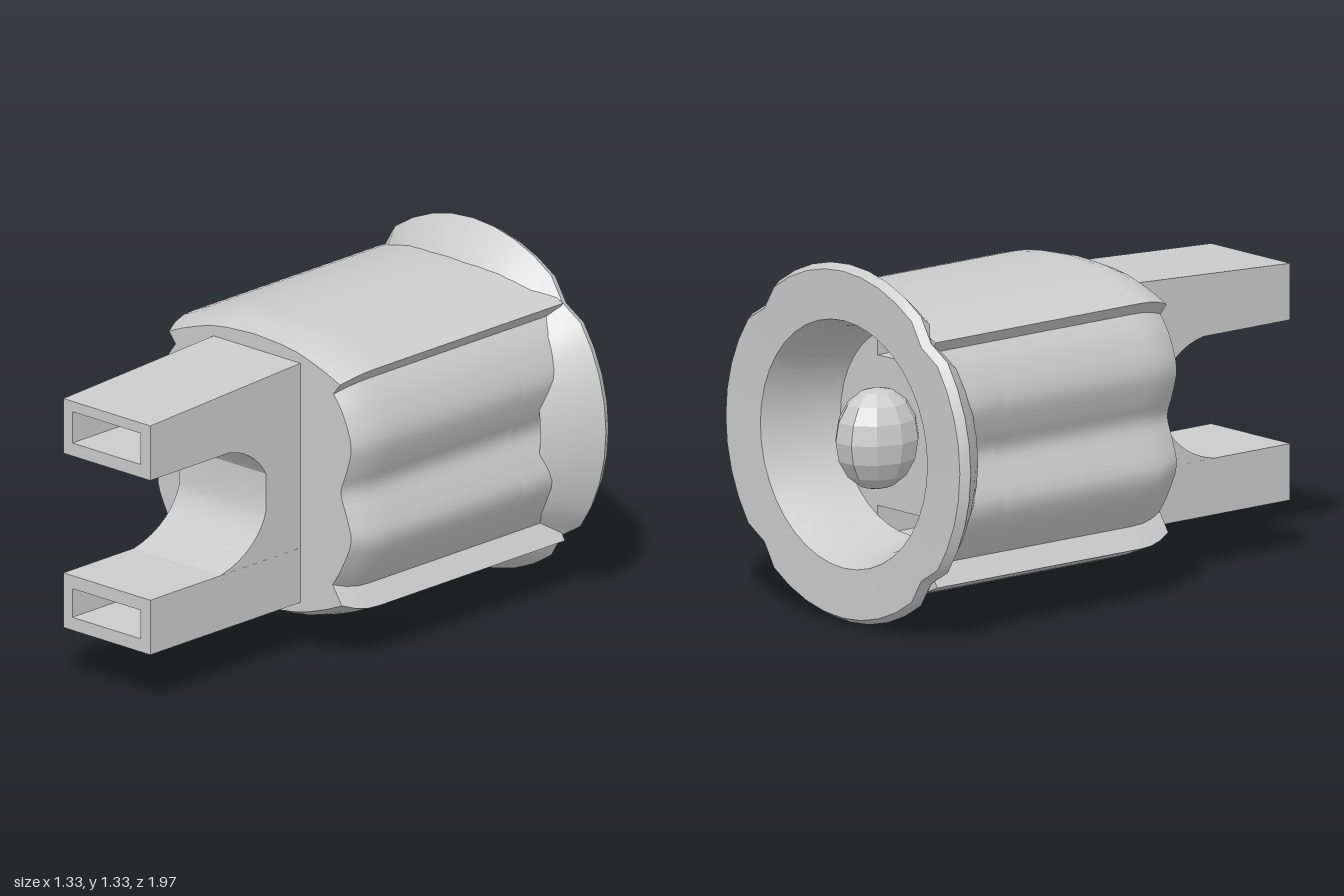
import * as THREE from 'three';
import { toCreasedNormals } from 'three/addons/utils/BufferGeometryUtils.js';

const CY = 0.665; // height of the long axis
const mat = new THREE.MeshStandardMaterial({ color: 0xcccccc, side: THREE.DoubleSide });

function addMesh(parent, name, geometry, crease = 0.5) {
  const mesh = new THREE.Mesh(toCreasedNormals(geometry, crease), mat);
  mesh.name = name;
  parent.add(mesh);
  return mesh;
}

function rect(x0, x1, y0, y1, Type = THREE.Path) {
  const s = new Type();
  s.moveTo(x0, y0).lineTo(x1, y0).lineTo(x1, y1).lineTo(x0, y1).closePath();
  return s;
}

// Extrude along z between two depths
function extrudeZ(shape, z0, z1, steps = 1) {
  const g = new THREE.ExtrudeGeometry(shape, { depth: z1 - z0, steps, bevelEnabled: false, curveSegments: 32 });
  return g.translate(0, 0, z0);
}

// Body section: domed top and bottom with overhanging corner ridges, two rounded flutes per side
function bodyShape() {
  const v = (x, y) => new THREE.Vector2(x, y);
  const side = [[0.42, 0.28], [0.47, 0.36], [0.52, 0.48], [0.495, 0.58], [0.465, 0.67],
    [0.495, 0.76], [0.52, 0.87], [0.48, 0.99], [0.425, 1.07]].map(p => v(...p));
  const flutes = new THREE.SplineCurve(side).getPoints(28);
  const top = new THREE.SplineCurve([v(0.46, 1.115), v(0.36, 1.155), v(0.2, 1.2), v(0, 1.215)]).getPoints(8);
  const bottom = new THREE.SplineCurve([v(0, 0.1), v(0.2, 0.115), v(0.36, 0.16), v(0.47, 0.205)]).getPoints(8);
  const half = [...bottom, ...flutes, ...top];
  const mirrored = half.slice(1, -1).reverse().map(p => v(-p.x, p.y));
  return new THREE.Shape([...half, ...mirrored]);
}

const SLOTS = [[0.92, 1.04], [0.25, 0.36]];
const addSlot = (shape, [y0, y1]) => shape.holes.push(rect(-0.16, 0.18, y0, y1));

export function createModel() {
  const model = new THREE.Group();
  model.name = 'flutedConnector';

  // Solid front of the body, pierced by the two slots, with a rounded front edge
  const front = bodyShape();
  SLOTS.forEach(s => addSlot(front, s));
  const frontGeo = extrudeZ(front, -0.66, 0.2, 16);
  const p = frontGeo.attributes.position;
  for (let i = 0; i < p.count; i++) {
    const x = p.getX(i), y = p.getY(i) - CY, z = p.getZ(i);
    if (Math.hypot(x, y) > 0.42 && z > 0.05) {
      const t = (z - 0.05) / 0.15;
      const k = 1 - 0.07 * t * t;
      p.setXY(i, x * k, CY + y * k);
    }
  }
  addMesh(model, 'body', frontGeo);

  // Hollow rear of the body
  const rear = bodyShape();
  const bore = new THREE.Path();
  bore.absarc(0, CY, 0.45, 0, Math.PI * 2);
  rear.holes.push(bore);
  addMesh(model, 'rearShell', extrudeZ(rear, -0.94, -0.66));

  // Flared rim with the socket wall inside, slightly nicked at the four corners
  const profile = [[0.385, -0.66], [0.42, -0.86], [0.46, -0.98], [0.645, -0.985],
    [0.665, -0.95], [0.6, -0.87], [0.545, -0.81], [0.5, -0.78]].map(q => new THREE.Vector2(...q));
  const rim = new THREE.LatheGeometry(profile, 40).rotateX(Math.PI / 2);
  const r = rim.attributes.position;
  for (let i = 0; i < r.count; i++) {
    const x = r.getX(i), y = r.getY(i);
    const nearCorner = Math.abs(Math.abs(x) - Math.abs(y)) < 0.03;
    const k = nearCorner && Math.hypot(x, y) > 0.5 ? 0.95 : 1;
    r.setXY(i, x * k, y * k);
  }
  addMesh(model, 'rim', rim).position.y = CY;

  // Rounded pin in the middle of the socket
  const pin = addMesh(model, 'centrePin', new THREE.SphereGeometry(1, 10, 8), 0.3);
  pin.scale.set(0.14, 0.19, 0.17);
  pin.position.set(0, CY, -0.82);

  // Two hollow prongs; the upper one thickens towards its root
  [[0.87, 1.08], [0.2, 0.41]].forEach(([y0, y1], i) => {
    const shape = rect(-0.205, 0.23, y0, y1, THREE.Shape);
    addSlot(shape, SLOTS[i]);
    const g = extrudeZ(shape, 0.15, 0.99, 4);
    const a = g.attributes.position;
    for (let j = 0; j < a.count; j++) {
      if (a.getY(j) > 1.06) a.setY(j, a.getY(j) + 0.05 * (0.99 - a.getZ(j)));
    }
    addMesh(model, i ? 'lowerProng' : 'upperProng', g);
  });

  // Curved web joining the prongs, drawn from the side and extruded across
  const web = new THREE.Shape();
  web.moveTo(0.15, 0.4).lineTo(0.62, 0.41);
  web.bezierCurveTo(0.48, 0.44, 0.4, 0.52, 0.38, 0.6);
  web.lineTo(0.38, 0.74);
  web.bezierCurveTo(0.42, 0.81, 0.5, 0.87, 0.62, 0.875);
  web.lineTo(0.15, 0.88).closePath();
  const webGeo = new THREE.ExtrudeGeometry(web, { depth: 0.434, bevelEnabled: false, curveSegments: 8 });
  webGeo.rotateY(-Math.PI / 2).translate(0.2295, 0, 0);
  addMesh(model, 'web', webGeo);

  return model;
}
